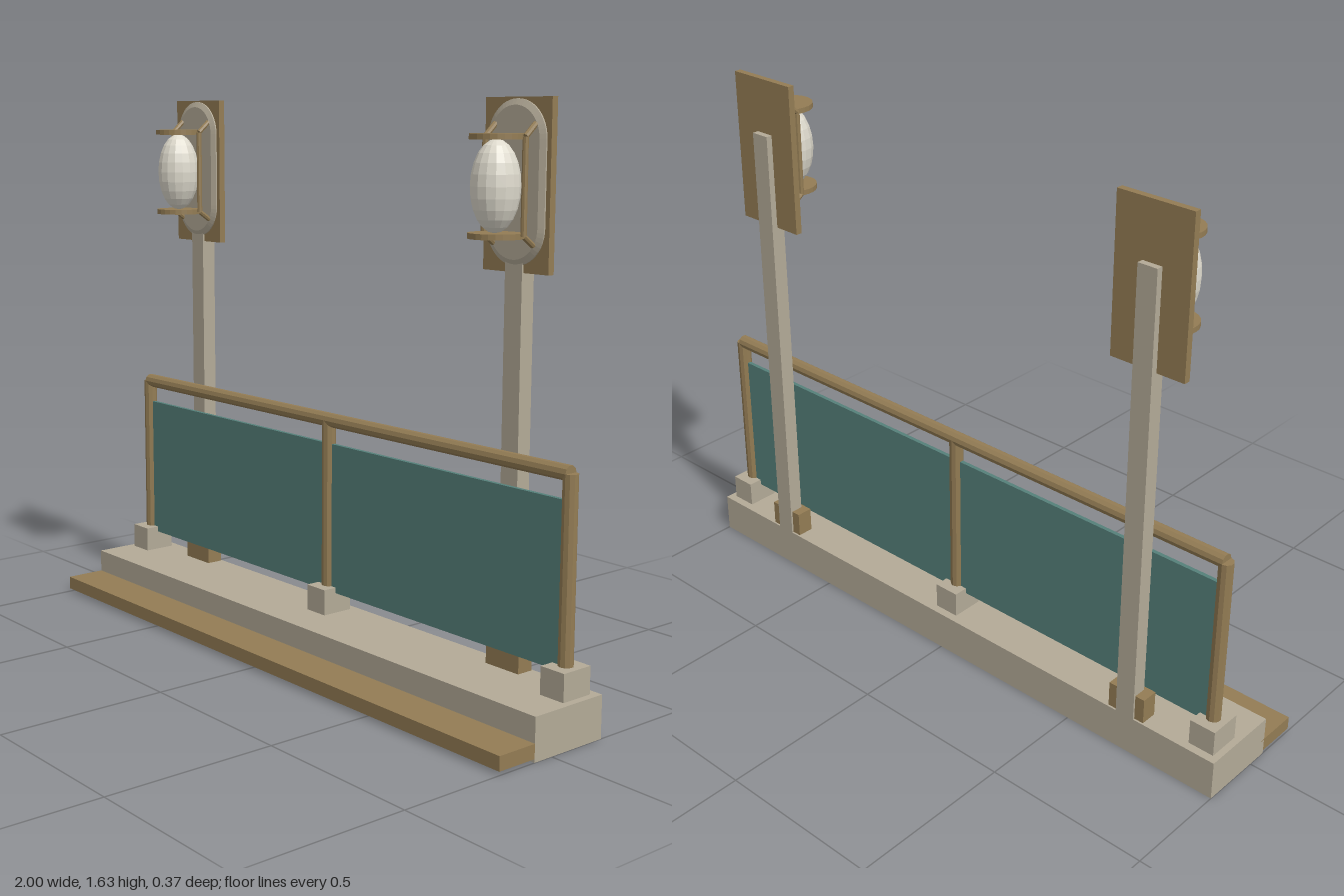
import * as THREE from 'three';

const mat = (name, color, flatShading = true) => {
  const m = new THREE.MeshStandardMaterial({ color, flatShading });
  m.name = name;
  return m;
};

export function createModel() {
  const stone = mat('stone', 0xb3aa97);
  const bronze = mat('bronze', 0x937c54);
  const teal = mat('teal panel', 0x55807a);
  const glass = mat('lamp glass', 0xdedacd);
  const root = new THREE.Group();
  root.name = 'railingWithLamps';

  const add = (parent, name, geo, material, x = 0, y = 0, z = 0) => {
    const m = new THREE.Mesh(geo, material);
    m.name = name;
    m.position.set(x, y, z);
    parent.add(m);
    return m;
  };
  // Box given by its low and high limits on each axis
  const box = (parent, name, material, [x0, x1], [y0, y1], [z0, z1]) =>
    add(parent, name, new THREE.BoxGeometry(x1 - x0, y1 - y0, z1 - z0), material,
      (x0 + x1) / 2, (y0 + y1) / 2, (z0 + z1) / 2);
  // Round bar between two points
  const bar = (parent, name, a, b, r, sides) => {
    const p = new THREE.Vector3(...a), q = new THREE.Vector3(...b);
    const d = q.clone().sub(p);
    const m = add(parent, name, new THREE.CylinderGeometry(r, r, d.length(), sides), bronze);
    m.position.copy(p).add(q).multiplyScalar(0.5);
    m.quaternion.setFromUnitVectors(new THREE.Vector3(0, 1, 0), d.normalize());
  };

  // Plinth and front step
  box(root, 'plinth', stone, [-1, 1], [0, 0.12], [-0.187, 0.062]);
  box(root, 'step', bronze, [-1, 1], [0.01, 0.05], [0.05, 0.187]);

  // Railing
  const railZ = -0.112;
  for (const x of [-0.94, 0, 0.94]) {
    box(root, 'railFoot', stone, [x - 0.04, x + 0.04], [0.12, 0.197], [-0.162, -0.062]);
    bar(root, 'railPost', [x, 0.19, railZ], [x, 0.7, railZ], 0.021, 10);
  }
  bar(root, 'handrail', [-0.94, 0.7, railZ], [0.94, 0.7, railZ], 0.021, 10);
  box(root, 'panel', teal, [-0.925, 0.925], [0.18, 0.63], [railZ - 0.006, railZ + 0.006]);

  // Stadium-shaped lamp backing with a bevelled rim
  const stadium = new THREE.Shape();
  const r = 0.085, h = 0.112;
  stadium.absarc(0, h, r, 0, Math.PI, false);
  stadium.absarc(0, -h, r, Math.PI, Math.PI * 2, false);
  stadium.closePath();
  const backing = new THREE.ExtrudeGeometry(stadium, {
    depth: 0.004, bevelEnabled: true, bevelThickness: 0.008, bevelSize: 0.016,
    bevelSegments: 1, curveSegments: 12,
  });

  // Lamp posts
  for (const x of [-0.7, 0.7]) {
    const lamp = new THREE.Group();
    lamp.name = 'lampPost';
    lamp.position.x = x;
    root.add(lamp);
    box(lamp, 'post', stone, [-0.03, 0.03], [0.12, 1.47], [-0.187, -0.142]);
    box(lamp, 'postFoot', bronze, [-0.06, 0.06], [0.12, 0.197], [-0.181, -0.13]);
    box(lamp, 'backPlate', bronze, [-0.115, 0.115], [1.185, 1.632], [-0.168, -0.148]);
    add(lamp, 'backing', backing, stone, 0, 1.415, -0.148);

    // Globe held between two discs
    const globe = add(lamp, 'globe', new THREE.SphereGeometry(1, 16, 12), glass, 0, 1.408, -0.07);
    globe.scale.set(0.065, 0.119, 0.065);
    for (const y of [1.283, 1.533])
      add(lamp, 'disc', new THREE.CylinderGeometry(0.071, 0.071, 0.015, 24), bronze, 0, y, -0.072);

    // Side brackets bending back to the plate
    for (const s of [-0.07, 0.07]) {
      const pts = [[s, 1.565, -0.138], [s, 1.533, -0.102], [s, 1.283, -0.102], [s, 1.258, -0.138]];
      for (let i = 0; i < 3; i++) bar(lamp, 'bracket', pts[i], pts[i + 1], 0.008, 8);
    }
  }
  return root;
}
